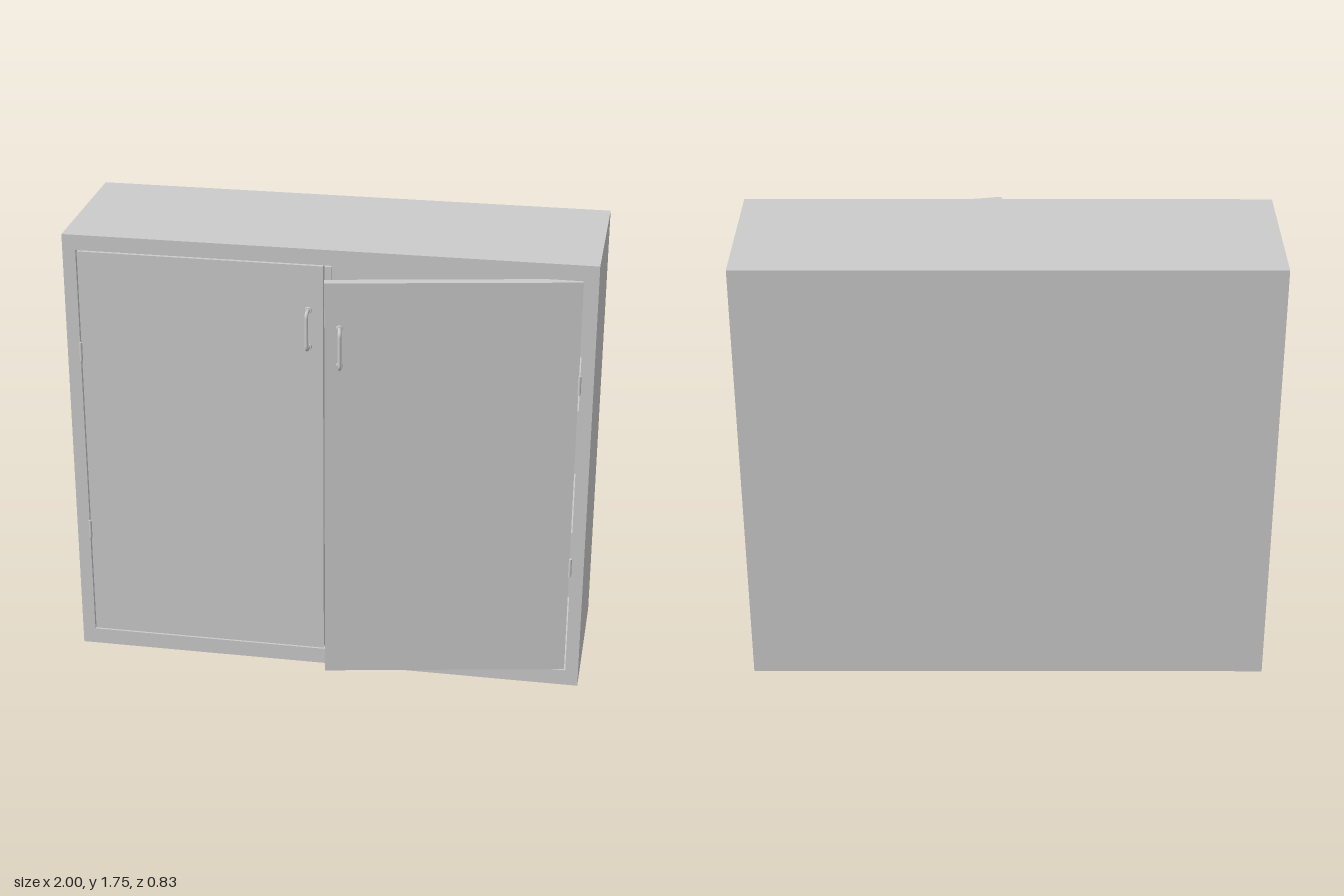
import * as THREE from 'three';

const material = new THREE.MeshStandardMaterial({ color: 0xcccccc });
const FRONT = 0.205, BACK = -0.415, HEIGHT = 1.75;
const DOOR = { width: 0.935, height: 1.615, bottom: 0.07, thick: 0.037 };

function add(parent, name, geometry, x = 0, y = 0, z = 0) {
  const mesh = new THREE.Mesh(geometry, material);
  mesh.name = name;
  mesh.position.set(x, y, z);
  parent.add(mesh);
  return mesh;
}

const box = (w, h, d) => new THREE.BoxGeometry(w, h, d);

// Bow handle: a rounded U of tube standing on two round flanges
function createHandle() {
  const handle = new THREE.Group();
  handle.name = 'handle';
  const half = 0.073, out = 0.043, r = 0.018;
  const v = (y, z) => new THREE.Vector3(0, y, z);
  const path = new THREE.CurvePath();
  path.add(new THREE.LineCurve3(v(-half, 0), v(-half, out - r)));
  path.add(new THREE.QuadraticBezierCurve3(v(-half, out - r), v(-half, out), v(-half + r, out)));
  path.add(new THREE.LineCurve3(v(-half + r, out), v(half - r, out)));
  path.add(new THREE.QuadraticBezierCurve3(v(half - r, out), v(half, out), v(half, out - r)));
  path.add(new THREE.LineCurve3(v(half, out - r), v(half, 0)));
  add(handle, 'handleBow', new THREE.TubeGeometry(path, 60, 0.007, 12));
  for (const s of [-1, 1]) {
    const flange = new THREE.CylinderGeometry(0.011, 0.013, 0.006, 20).rotateX(Math.PI / 2);
    add(handle, 'handleFlange', flange, 0, s * half, 0.003);
  }
  return handle;
}

// Door hung from its hinge line; side is +1 for the model's left, -1 for its right
function createDoor(side, angle) {
  const door = new THREE.Group();
  door.name = side > 0 ? 'leftDoor' : 'rightDoor';
  door.position.set(side * 0.945, 0, FRONT);
  door.rotation.y = side * angle;
  add(door, 'doorPanel', box(DOOR.width, DOOR.height, DOOR.thick),
    -side * DOOR.width / 2, DOOR.bottom + DOOR.height / 2, -DOOR.thick / 2);
  const handle = createHandle();
  handle.position.set(-side * 0.88, 1.437, 0);
  door.add(handle);
  return door;
}

export function createModel() {
  const cabinet = new THREE.Group();
  cabinet.name = 'cabinet';

  // Carcass: one hollow surround closed by a back panel
  const outline = new THREE.Shape([[-1, 0], [1, 0], [1, HEIGHT], [-1, HEIGHT]]
    .map(([x, y]) => new THREE.Vector2(x, y)));
  outline.holes.push(new THREE.Path([[-0.95, 0.065], [-0.95, 1.69], [0.95, 1.69], [0.95, 0.065]]
    .map(([x, y]) => new THREE.Vector2(x, y))));
  add(cabinet, 'carcass',
    new THREE.ExtrudeGeometry(outline, { depth: FRONT - BACK, bevelEnabled: false }), 0, 0, BACK);
  add(cabinet, 'backPanel', box(1.9, 1.625, 0.03), 0, 0.8775, BACK + 0.015);

  // Shelves
  for (const y of [0.62, 1.13]) add(cabinet, 'shelf', box(1.9, 0.03, 0.52), 0, y, -0.125);

  // Doors: the right one shut, the left one ajar
  const shut = createDoor(-1, 0);
  cabinet.add(shut, createDoor(1, THREE.MathUtils.degToRad(10.5)));

  // Meeting strip behind the free edge of the shut door
  add(shut, 'meetingStrip', box(0.06, 1.58, 0.015), 0.93, 0.88, -DOOR.thick - 0.0075);

  // Hinge knuckles, two on each side
  for (const side of [-1, 1]) {
    for (const y of [0.52, 1.28]) {
      add(cabinet, 'hingeKnuckle', new THREE.CylinderGeometry(0.006, 0.006, 0.075, 16),
        side * 0.948, y, FRONT);
    }
  }
  return cabinet;
}
